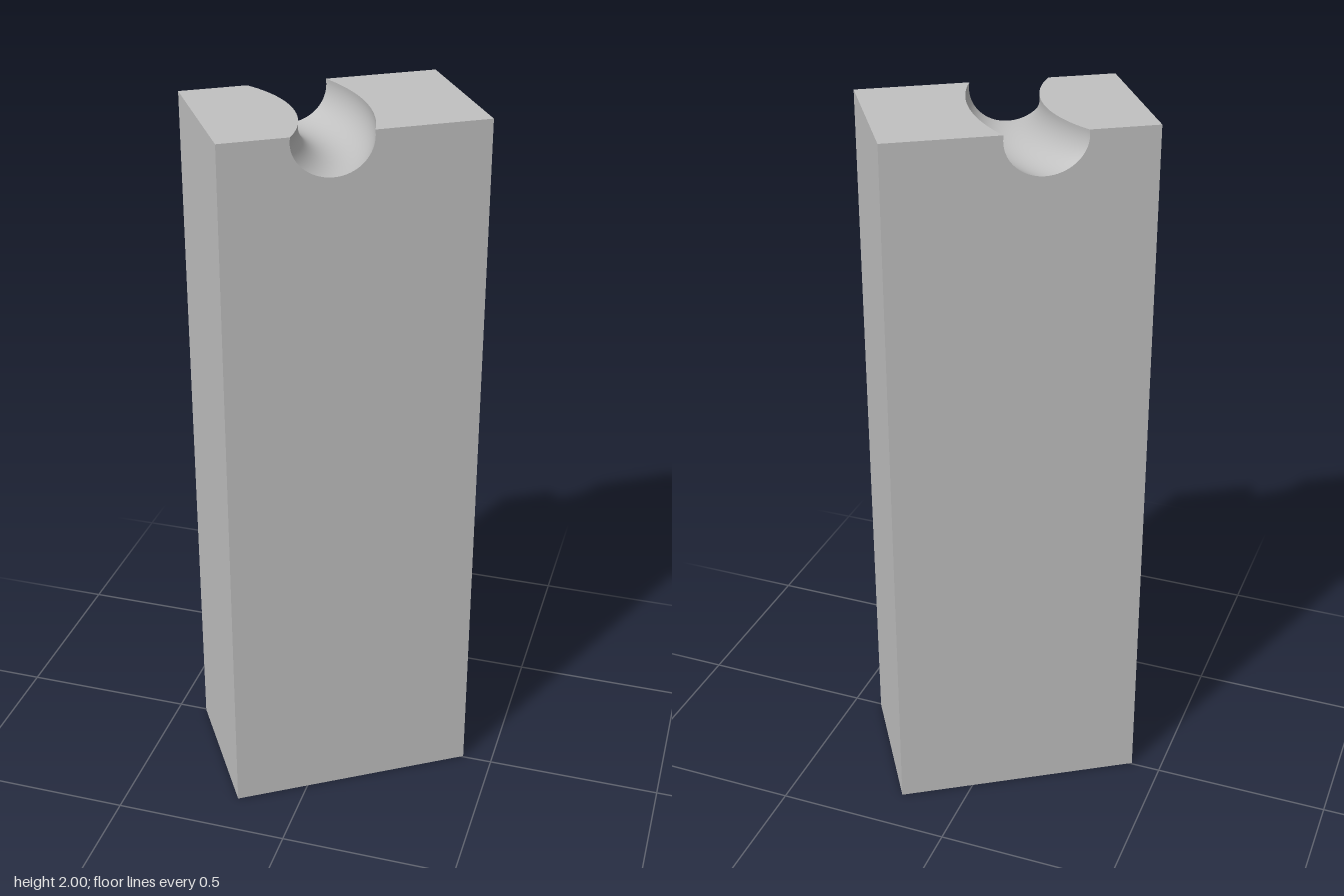
import * as THREE from 'three';
import { mergeGeometries } from 'three/addons/utils/BufferGeometryUtils.js';

const HALF_W = 0.3515, HALF_D = 0.2195, HEIGHT = 2, TURN = 0.567;
// The channel is part of a ring: bend centre, bend radius, tube radius, depth of tube centre
const BEND_X = -0.508, BEND_R = 0.5, TUBE_R = 0.0965, SINK = 0.0145;
const LIP = Math.asin(SINK / TUBE_R);
const INNER = Math.PI - LIP, OUTER = 2 * Math.PI + LIP;

// Point on the channel surface at tube angle a and depth position z
function channelPoint(a, z) {
  const rho = BEND_R + TUBE_R * Math.cos(a);
  return [BEND_X + Math.sqrt(rho * rho - z * z), HEIGHT - SINK + TUBE_R * Math.sin(a), z];
}

// Upward-facing sheet shaped by rule(s, z), with s running 0..1 from -x to +x
function sheet(nx, nz, rule) {
  const geo = new THREE.PlaneGeometry(1, 1, nx, nz);
  const pos = geo.attributes.position;
  for (let i = 0; i < pos.count; i++) {
    pos.setXYZ(i, ...rule(pos.getX(i) + 0.5, -2 * HALF_D * pos.getY(i)));
  }
  geo.computeVertexNormals();
  return geo;
}

// Notched end face; side is +1 for the front and -1 for the back
function endFace(side) {
  const points = [[-HALF_W, HEIGHT], [-HALF_W, 0], [HALF_W, 0], [HALF_W, HEIGHT]];
  for (let i = 0; i <= 48; i++) {
    points.push(channelPoint(THREE.MathUtils.lerp(OUTER, INNER, i / 48), HALF_D));
  }
  const shape = new THREE.Shape(points.map(([x, y]) => new THREE.Vector2(side * x, y)));
  const geo = new THREE.ShapeGeometry(shape).translate(0, 0, HALF_D);
  return side > 0 ? geo : geo.rotateY(Math.PI);
}

export function createModel() {
  const group = new THREE.Group();
  group.name = 'groovedBlock';
  const grey = new THREE.MeshStandardMaterial({ color: 0xc0c0c0 });
  grey.name = 'grey';

  // Flat faces of the block
  const lerp = THREE.MathUtils.lerp;
  const faces = [
    endFace(1),
    endFace(-1),
    sheet(1, 48, (s, z) => [lerp(-HALF_W, channelPoint(INNER, z)[0], s), HEIGHT, z]),
    sheet(1, 48, (s, z) => [lerp(channelPoint(OUTER, z)[0], HALF_W, s), HEIGHT, z]),
    new THREE.PlaneGeometry(2 * HALF_W, 2 * HALF_D).rotateX(Math.PI / 2),
  ];
  for (const side of [-1, 1]) {
    faces.push(new THREE.PlaneGeometry(2 * HALF_D, HEIGHT)
      .rotateY(side * Math.PI / 2).translate(side * HALF_W, HEIGHT / 2, 0));
  }
  const block = new THREE.Mesh(mergeGeometries(faces), grey);
  block.name = 'block';

  // Curved channel across the top
  const channel = new THREE.Mesh(
    sheet(48, 48, (s, z) => channelPoint(lerp(INNER, OUTER, s), z)), grey);
  channel.name = 'channel';

  // The block stands turned about its upright axis
  const turned = new THREE.Group();
  turned.name = 'turnedBlock';
  turned.rotation.y = TURN;
  turned.add(block, channel);
  group.add(turned);
  return group;
}
